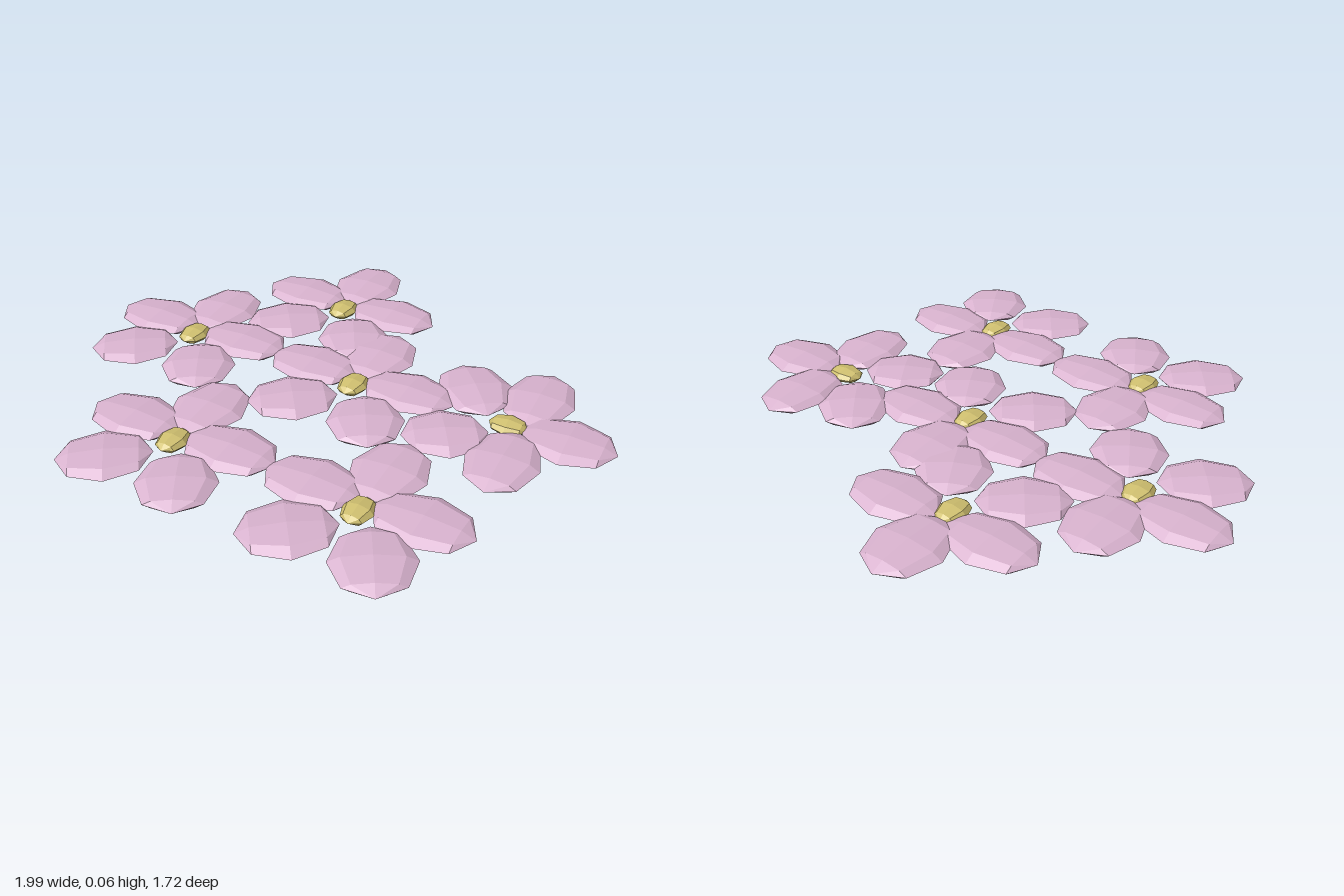
import * as THREE from 'three';

const HALF_HEIGHT = 0.028;

// Petals of one flower: x, z offset, axis angle in the ground plane (deg, +x towards +z), half length, half width
const PETALS = [
  { name: 'backPetal', x: 0, z: -0.208, angle: -90, length: 0.163, width: 0.131 },
  { name: 'rightPetal', x: -0.187, z: -0.048, angle: 180, length: 0.17, width: 0.126 },
  { name: 'leftPetal', x: 0.194, z: -0.048, angle: 0, length: 0.17, width: 0.126 },
  { name: 'frontRightPetal', x: -0.146, z: 0.175, angle: 143, length: 0.158, width: 0.134 },
  { name: 'frontLeftPetal', x: 0.139, z: 0.173, angle: 60, length: 0.147, width: 0.134 },
];

// Flowers: x, z of the centre and turn in degrees
const FLOWERS = [
  [-0.233, -0.49, 0],
  [-0.64, 0.057 - 0.113, 0],
  [0.05, -0.045, 0],
  [0.618, -0.083, 88],
  [-0.313, 0.527, 0],
  [0.382, 0.54, 0],
];

export function createModel() {
  const model = new THREE.Group();
  model.name = 'flowerPatch';

  const pink = new THREE.MeshStandardMaterial({ color: 0xd9b3cf, flatShading: true });
  const yellow = new THREE.MeshStandardMaterial({ color: 0xd0c070, flatShading: true });

  // Low-poly bead with its poles along x, squashed into petals and centres
  const bead = new THREE.SphereGeometry(1, 8, 4).rotateZ(Math.PI / 2);

  const addBead = (parent, name, material, { x, z, angle, length, width }, halfHeight) => {
    const mesh = new THREE.Mesh(bead, material);
    mesh.name = name;
    mesh.position.set(x, HALF_HEIGHT, z);
    mesh.rotation.y = -THREE.MathUtils.degToRad(angle);
    mesh.scale.set(length, halfHeight, width);
    parent.add(mesh);
  };

  FLOWERS.forEach(([x, z, turn], i) => {
    const flower = new THREE.Group();
    flower.name = `flower${i + 1}`;
    flower.position.set(x, 0, z);
    flower.rotation.y = -THREE.MathUtils.degToRad(turn);

    // Five petals around the yellow centre
    for (const petal of PETALS) addBead(flower, petal.name, pink, petal, HALF_HEIGHT);
    addBead(flower, 'flowerCentre', yellow, { x: 0, z: 0, angle: 90, length: 0.068, width: 0.054 }, 0.025);

    model.add(flower);
  });

  return model;
}
